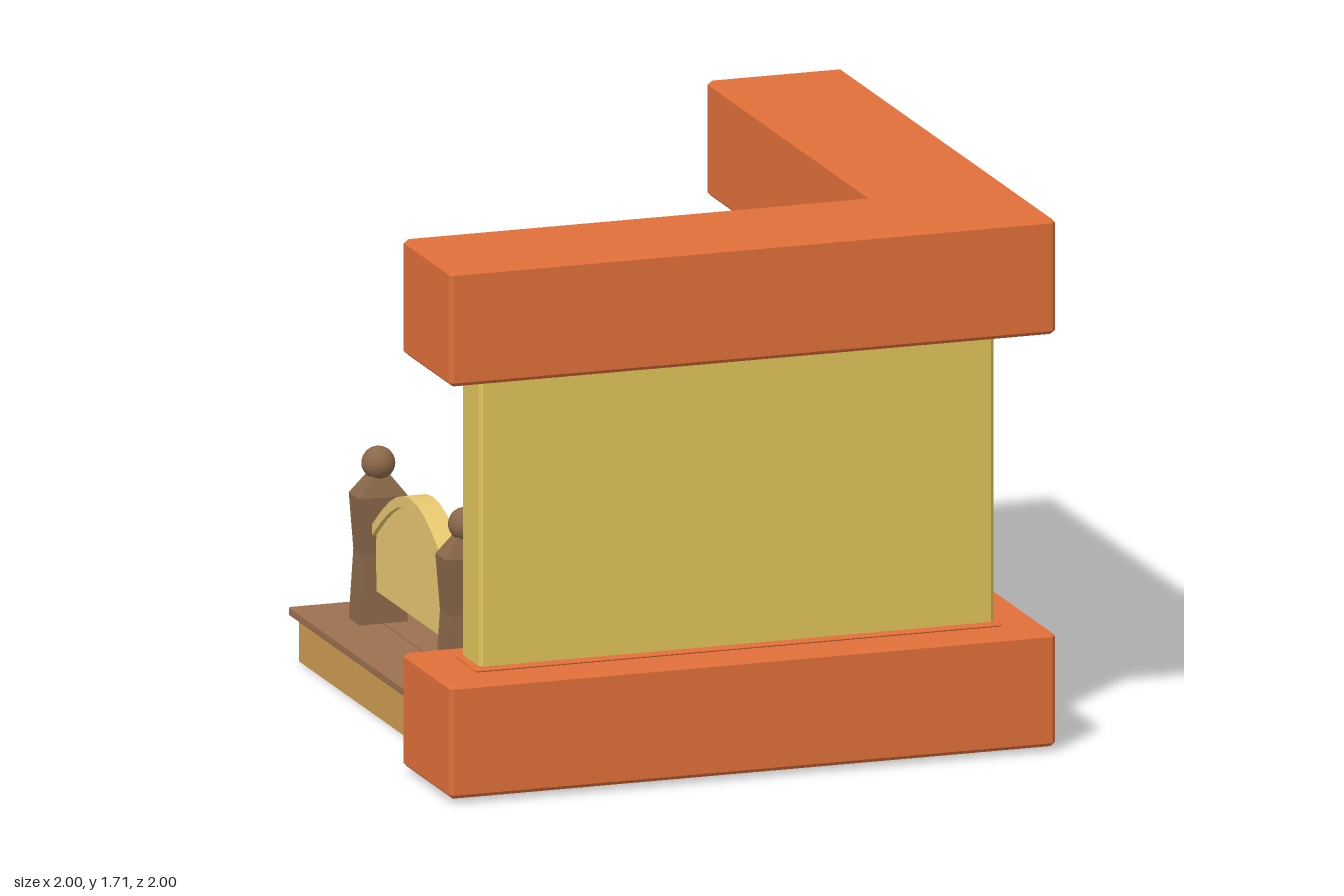
import * as THREE from 'three';
import { RoundedBoxGeometry } from 'three/addons/geometries/RoundedBoxGeometry.js';

const mat = (color, flatShading = true) => new THREE.MeshStandardMaterial({ color, flatShading });
const M = {
  brick: mat(0xe06f39), wall: mat(0xe0c45a), plank: mat(0x9c7050), base: mat(0xd09c50),
  post: mat(0x8a684a), ball: mat(0x8a684a, false), bed: mat(0xe6c66e), grey: mat(0xcccccc),
  red: mat(0xe60f14), pot: mat(0xb87848), soil: mat(0x4a3020), cactus: mat(0x28c032, false),
};

export function createModel() {
  const root = new THREE.Group();
  const add = (name, geo, material, parent = root) => {
    const m = new THREE.Mesh(geo, material);
    m.name = name;
    parent.add(m);
    return m;
  };

  // box given by its extents, with optional rounded edges
  const box = (name, material, [x0, x1], [y0, y1], [z0, z1], r = 0, parent = root) => {
    const s = [x1 - x0, y1 - y0, z1 - z0];
    const geo = r ? new RoundedBoxGeometry(...s, 1, r) : new THREE.BoxGeometry(...s);
    const m = add(name, geo, material, parent);
    m.position.set((x0 + x1) / 2, (y0 + y1) / 2, (z0 + z1) / 2);
    return m;
  };

  // L-shaped slab around the +x and +z sides, with chamfered edges
  const corner = (name, material, outer, inner, y0, y1, c) => {
    const p = [[-outer, outer], [-outer, inner], [inner, inner], [inner, -outer], [outer, -outer], [outer, outer]]
      .map(([x, z]) => new THREE.Vector2(x, z));
    const pts = [];
    p.forEach((v, i) => {
      for (const n of [p[(i + 5) % 6], p[(i + 1) % 6]])
        pts.push(n.clone().sub(v).setLength(c).add(v));
    });
    const geo = new THREE.ExtrudeGeometry(new THREE.Shape(pts), {
      depth: y1 - y0 - 2 * c, bevelThickness: c, bevelSize: c, bevelOffset: -c, bevelSegments: 1,
    });
    geo.rotateX(Math.PI / 2).translate(0, y1 - c, 0);
    return add(name, geo, material);
  };

  // stack of rectangular sections [y, width, depth]
  const loft = (layers) => {
    const n = layers.length - 1;
    const geo = new THREE.BoxGeometry(1, 1, 1, 1, n, 1);
    const a = geo.attributes.position;
    for (let i = 0; i < a.count; i++) {
      const [y, w, d] = layers[Math.round((a.getY(i) + 0.5) * n)];
      a.setXYZ(i, a.getX(i) * w, y, a.getZ(i) * d);
    }
    geo.computeVertexNormals();
    return geo;
  };

  // room shell
  corner('lowerBand', M.brick, 1, 0.55, 0.015, 0.38, 0.012);
  corner('upperBand', M.brick, 1, 0.55, 1.34, 1.71, 0.012);
  corner('wall', M.wall, 0.85, 0.68, 0.37, 1.35, 0.012);
  corner('lowerTrim', M.brick, 0.868, 0.662, 0.375, 0.393, 0.008);
  corner('upperTrim', M.brick, 0.868, 0.662, 1.325, 1.345, 0.008);

  // floor
  box('floorBase', M.base, [-0.85, 0.85], [0, 0.15], [-0.84, 0.85]);
  for (let i = 0; i < 7; i++) {
    const x = -0.88 + i * 0.2155;
    box('floorPlank', M.plank, [x, x + 0.209], [0.148, 0.175], [-0.855, 0.6], 0.004);
  }

  // bed
  const bed = new THREE.Group();
  bed.name = 'bed';
  root.add(bed);
  const postGeo = loft([[0.175, 0.16, 0.1], [0.4, 0.135, 0.085], [0.58, 0.16, 0.1], [0.645, 0.06, 0.05]]);
  const ballGeo = new THREE.SphereGeometry(0.053, 20, 14);
  for (const x of [-0.67, 0.33]) for (const z of [-0.61, 0.2]) {
    add('bedPost', postGeo, M.post, bed).position.set(x, 0, z);
    add('postBall', ballGeo, M.ball, bed).position.set(x, 0.68, z);
  }

  // arched boards between the posts, each with a thicker rim
  const arch = (inset) => {
    const pts = [];
    for (let i = 0; i <= 12; i++) {
      const t = -1 + i / 6;
      pts.push(new THREE.Vector2(t * 0.385, 0.475 + 0.19 * Math.cos(t * Math.PI / 2) - inset));
    }
    return pts;
  };
  const board = (name, pts, width, x) => {
    const geo = new THREE.ExtrudeGeometry(new THREE.Shape(pts), { depth: width, bevelEnabled: false });
    geo.translate(0, 0, -width / 2).rotateY(Math.PI / 2);
    add(name, geo, M.bed, bed).position.set(x, 0, -0.205);
  };
  for (const [name, x] of [['footboard', -0.67], ['headboard', 0.33]]) {
    board(name, [new THREE.Vector2(-0.385, 0.28), new THREE.Vector2(0.385, 0.28), ...arch(0.02).reverse()], 0.045, x);
    board(name + 'Rim', [...arch(0.035), ...arch(0).reverse()], 0.075, x);
  }

  box('bedFrame', M.bed, [-0.66, 0.32], [0.28, 0.38], [-0.56, 0.165], 0.006, bed);
  box('mattress', M.grey, [-0.64, 0.27], [0.36, 0.435], [-0.53, 0.12], 0.012, bed);
  box('blanket', M.red, [-0.6, 0.045], [0.378, 0.45], [-0.545, 0.145], 0.005, bed);

  // shelf with potted cacti
  box('shelf', M.grey, [0.46, 0.7], [1.0, 1.03], [-0.595, 0.18], 0.008);
  const potGeo = loft([[1.03, 0.1, 0.1], [1.15, 0.15, 0.15], [1.15, 0.12, 0.12], [1.125, 0.11, 0.11]]);
  const cactusGeo = new THREE.SphereGeometry(1, 18, 14).scale(0.046, 0.12, 0.046);
  for (const z of [-0.455, 0.01]) {
    add('pot', potGeo, M.pot).position.set(0.575, 0, z);
    box('soil', M.soil, [0.525, 0.625], [1.11, 1.13], [z - 0.05, z + 0.05]);
    add('cactus', cactusGeo, M.cactus).position.set(0.575, 1.2, z);
  }
  return root;
}
